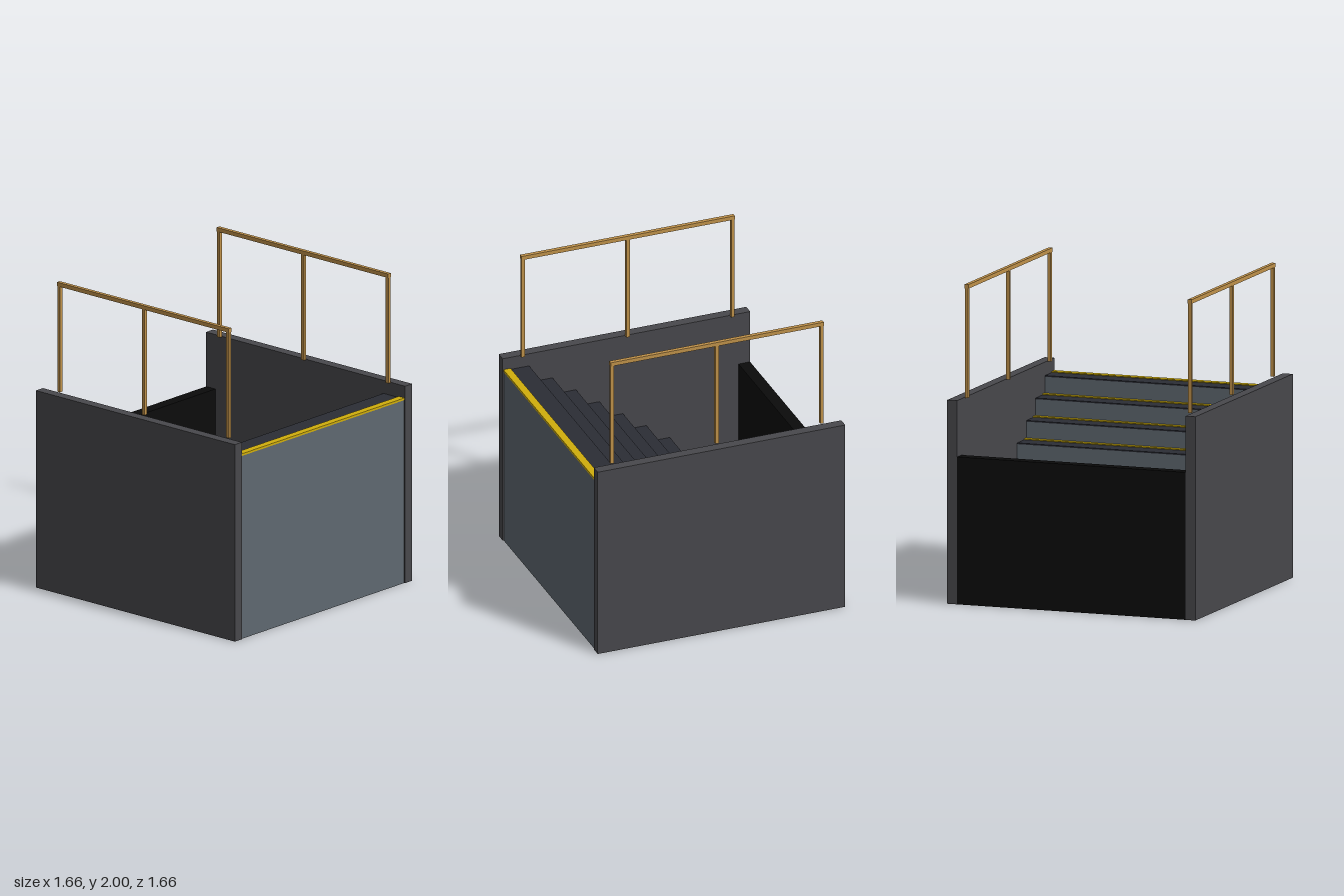
import * as THREE from 'three';

const mat = (color) => new THREE.MeshStandardMaterial({ color });

export function createModel() {
  const model = new THREE.Group();
  model.name = 'staircase';
  const slate = mat(0x5f6870), dark = mat(0x2b2d35), yellow = mat(0xd0ae0c);
  const wall = mat(0x48484c), black = mat(0x0b0b0b), brass = mat(0xc0924a);

  // Box given by its min and max corners
  function box(name, material, [x0, y0, z0], [x1, y1, z1], parent = model) {
    const mesh = new THREE.Mesh(new THREE.BoxGeometry(x1 - x0, y1 - y0, z1 - z0), material);
    mesh.position.set((x0 + x1) / 2, (y0 + y1) / 2, (z0 + z1) / 2);
    mesh.name = name;
    parent.add(mesh);
  }

  // Ten solid steps rising towards the front, each with a tread and a warning strip
  const count = 10, run = 0.157, rise = 0.116, depth = 0.169;
  for (let i = 0; i < count; i++) {
    const step = new THREE.Group();
    step.name = `step${i + 1}`;
    const front = 0.822 - (count - 1 - i) * run;
    const back = front - depth;
    const top = 0.158 + i * rise;
    box('riser', slate, [-0.758, 0, back], [0.758, top - 0.008, front], step);
    box('tread', dark, [-0.758, top - 0.008, back], [0.758, top, front - 0.01], step);
    box('warningStrip', yellow, [-0.761, top - 0.008, front - 0.046], [0.761, top + 0.006, front + 0.002], step);
    model.add(step);
  }

  // Low wall closing the foot of the stairs
  box('backWall', black, [-0.762, 0, -0.827], [0.762, 0.93, -0.75]);

  // Side walls and handrails
  for (const side of [-1, 1]) {
    const flank = new THREE.Group();
    flank.name = side > 0 ? 'leftSide' : 'rightSide';
    const xw = side * 0.795, xr = side * 0.745;
    box('sideWall', wall, [xw - 0.033, 0, -0.828], [xw + 0.033, 1.285, 0.828], flank);
    box('handrail', brass, [xr - 0.013, 1.974, -0.713], [xr + 0.013, 2, 0.713], flank);
    for (const z of [-0.702, 0, 0.702]) {
      box('railPost', brass, [xr - 0.011, 1.285, z - 0.011], [xr + 0.011, 1.974, z + 0.011], flank);
    }
    model.add(flank);
  }
  return model;
}
